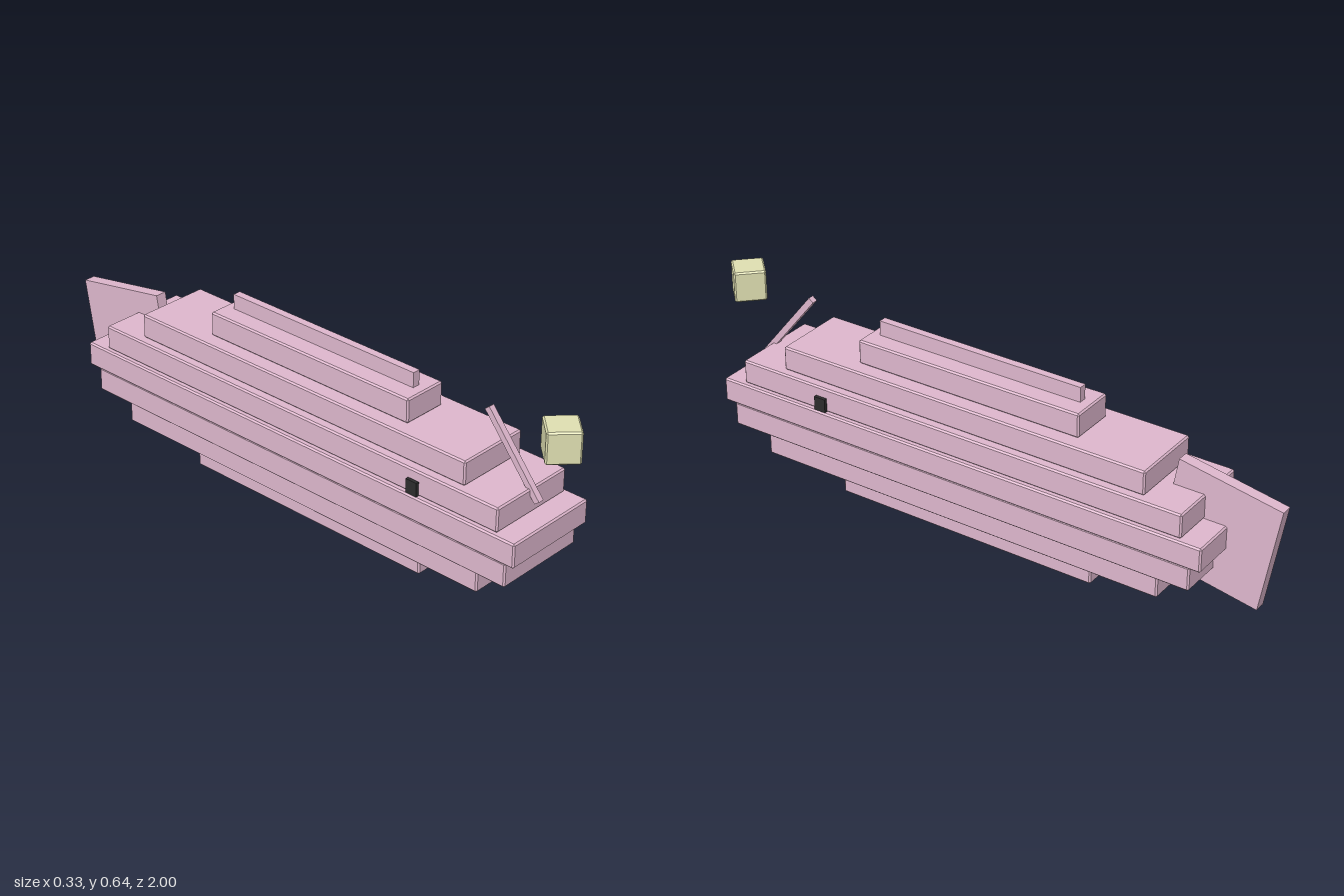
import * as THREE from 'three';
import { ConvexGeometry } from 'three/addons/geometries/ConvexGeometry.js';

const mat = (name, color) => {
  const m = new THREE.MeshStandardMaterial({ color });
  m.name = name;
  return m;
};

// Box with flat chamfered edges
function chamferBox(w, h, d, c) {
  const points = [];
  for (const sx of [-1, 1]) for (const sy of [-1, 1]) for (const sz of [-1, 1]) {
    const x = w / 2, y = h / 2, z = d / 2;
    points.push(
      new THREE.Vector3(sx * x, sy * (y - c), sz * (z - c)),
      new THREE.Vector3(sx * (x - c), sy * y, sz * (z - c)),
      new THREE.Vector3(sx * (x - c), sy * (y - c), sz * z));
  }
  return new ConvexGeometry(points);
}

export function createModel() {
  const group = new THREE.Group();
  const pink = mat('pink skin', 0xdeb7cd);
  const yellow = mat('pale yellow', 0xdfdfb1);
  const black = mat('black', 0x2c2c2c);

  const add = (name, geometry, material, x, y, z) => {
    const mesh = new THREE.Mesh(geometry, material);
    mesh.name = name;
    mesh.position.set(x, y, z);
    group.add(mesh);
    return mesh;
  };

  // Stepped body: [half width, back z, front z] from the belly up
  const layers = [
    [0.088, -0.415, 0.508], [0.138, -0.672, 0.765], [0.16, -0.787, 0.88], [0.166, -0.825, 0.913],
    [0.152, -0.75, 0.84], [0.125, -0.61, 0.697], [0.076, -0.355, 0.441],
  ];
  layers.forEach(([half, back, front], i) => {
    add('bodyLayer' + (i + 1), chamferBox(half * 2, 0.0805, front - back, 0.005), pink,
      0, 0.0415 + i * 0.08, (front + back) / 2);
  });

  // Fins
  add('dorsalFin', new THREE.BoxGeometry(0.026, 0.08, 0.725), pink, 0, 0.571, 0.043);
  const tail = add('tailFin', new THREE.BoxGeometry(0.038, 0.36, 0.345), pink, 0, 0.283, -0.798);
  tail.rotation.x = -THREE.MathUtils.degToRad(10);

  // Leaning rod and the lure floating in front of it
  const rod = add('lureRod', new THREE.BoxGeometry(0.02, 0.302, 0.02), pink, 0, 0.483, 0.77);
  rod.rotation.x = Math.atan2(-0.19, 0.234);
  const lure = add('lure', chamferBox(0.102, 0.103, 0.102, 0.005), yellow, 0, 0.594, 0.931);
  lure.rotation.y = Math.PI / 4;

  // Eyes on both sides
  for (const side of [1, -1]) {
    add(side > 0 ? 'leftEye' : 'rightEye', new THREE.BoxGeometry(0.02, 0.046, 0.04), black,
      side * 0.153, 0.346, 0.533);
  }
  return group;
}
